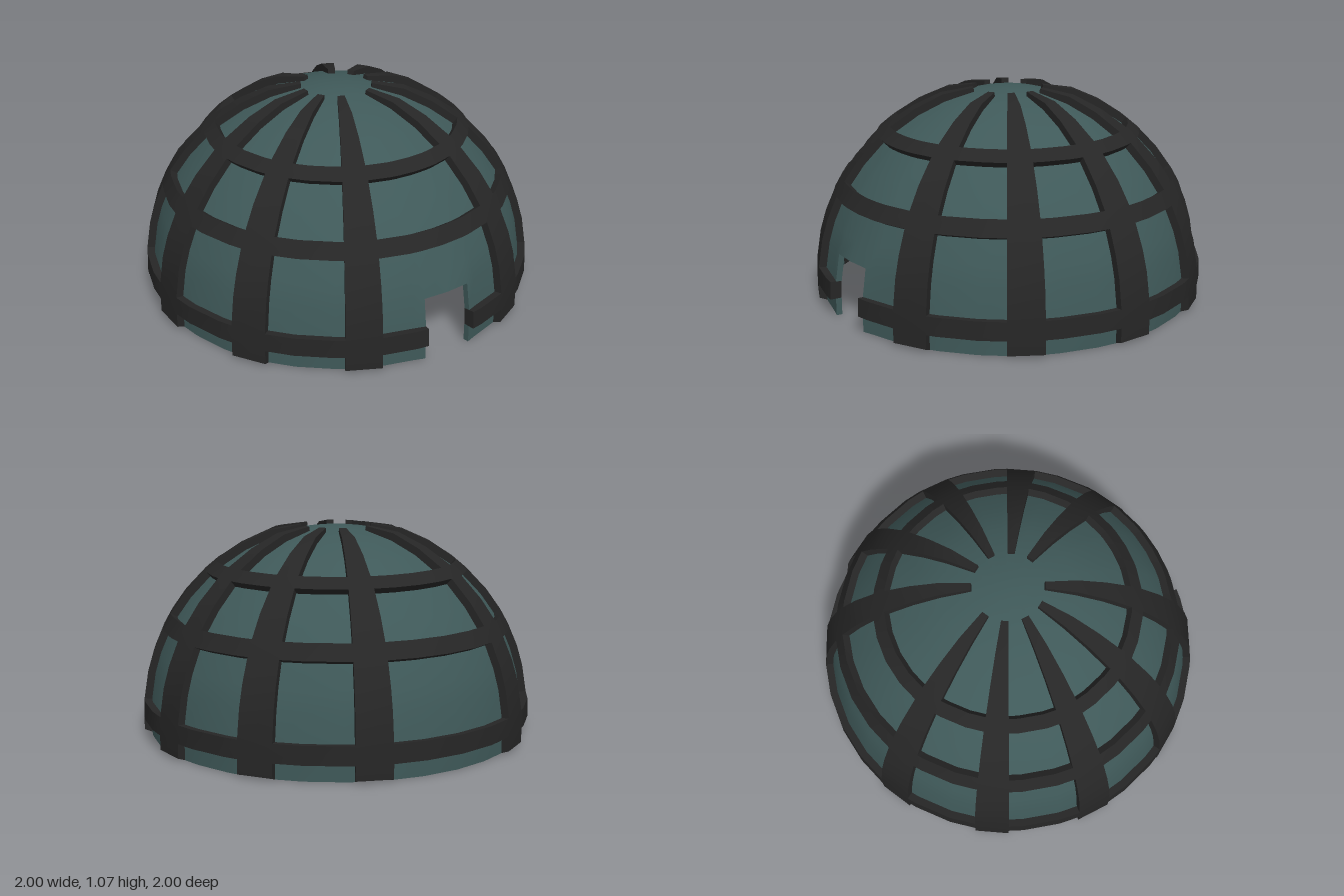
import * as THREE from 'three';
import { toCreasedNormals } from 'three/addons/utils/BufferGeometryUtils.js';

const RAD = Math.PI / 180;
const R = 0.965, CENTRE_Y = 0.095;
const INNER = -0.02, OUTER = 0, RAISED = 0.039;  // offsets of the shell layers

// Rows: elevation in degrees; the first row is the foot of the vertical skirt
const rows = ['foot', -0.4, 4.9, 13.2, 19.5, 26.7, 31.7, 39, 47.8, 52.2, 61, 70, 79.4, 85, 90];
const ringRows = [1, 5, 8];      // bands that are horizontal rings
const ribEndRow = 12;            // ribs stop below the crown
const doorRows = 3;              // rows cut away by the doorway
const doorHalf = 7.7;

// Ribs leave a wider gap at the front and the back
const ribs = [0, 32, 64, 116, 148, 180, 212, 244, 296, 328];
const ribHalf = (r) => (0.086 + 0.0025 / Math.max(r, 0.15)) / RAD;
const onRib = (angle) => ribs.some((a) => Math.abs(((angle - a + 540) % 360) - 180) < ribHalf(R));

// Columns: even divisions between the ribs, both edges of each rib, both door jambs
const columns = [];
for (let i = 0; i < 32; i++) if (!onRib(i * 11.25)) columns.push({ a: i * 11.25, side: 0 });
for (const a of ribs) for (const side of [-1, 1]) columns.push({ a, side });
for (const s of [-1, 1]) columns.push({ a: 270 + s * doorHalf, side: 0 });
const baseAngle = (c) => c.a + c.side * ribHalf(R);
columns.sort((p, q) => baseAngle(p) - baseAngle(q));
const N = columns.length;

function point(i, j, layer) {
  const foot = rows[i] === 'foot';
  const e = foot ? 0 : rows[i] * RAD;
  const c = columns[(j + N) % N];
  // Ribs flatten at the crown; the door surround stands slightly proud
  let lift = layer === RAISED && i >= ribEndRow ? 0.022 : layer;
  if (layer === OUTER && i <= doorRows && Math.abs(c.a - 270) < 9) lift += 0.01;
  const a = (c.a + c.side * ribHalf(R * Math.cos(e))) * RAD;
  const r = (R + lift) * Math.cos(e);
  const footY = layer === RAISED ? 0.015 : 0;
  const y = foot ? footY : CENTRE_Y + (R + lift) * Math.sin(e);
  return new THREE.Vector3(r * Math.cos(a), y, -r * Math.sin(a));
}

// Kind of each cell in the dome grid
function cellKind(i, j) {
  if (i < 0) return 'none';
  j = (j + N) % N;
  const from = baseAngle(columns[j]);
  const to = baseAngle(columns[(j + 1) % N]);
  const mid = from + (((to - from) % 360 + 360) % 360) / 2;
  if (i < doorRows && Math.abs(mid - 270) < doorHalf) return 'none';
  if ((onRib(mid) && i < ribEndRow) || ringRows.includes(i)) return 'frame';
  return 'panel';
}

function quad(out, a, b, c, d) {
  const put = (...pts) => pts.forEach((p) => out.push(p.x, p.y, p.z));
  put(a, b, c);
  if (c.distanceTo(d) > 1e-6) put(a, c, d);
}

function makeMesh(name, positions, color) {
  const geo = new THREE.BufferGeometry();
  geo.setAttribute('position', new THREE.Float32BufferAttribute(positions, 3));
  const mat = new THREE.MeshStandardMaterial({ color, side: THREE.DoubleSide });
  const mesh = new THREE.Mesh(toCreasedNormals(geo, 0.6), mat);
  mesh.name = name;
  return mesh;
}

export function createModel() {
  const parts = { panel: [], frame: [] };
  for (let i = 0; i < rows.length - 1; i++) {
    for (let j = 0; j < N; j++) {
      const kind = cellKind(i, j);
      if (kind === 'none') continue;
      const out = parts[kind];
      const corners = [[i, j], [i, j + 1], [i + 1, j + 1], [i + 1, j]];
      const at = (layer) => corners.map(([r, c]) => point(r, c, layer));
      const inner = at(INNER), outer = at(OUTER);
      const top = kind === 'frame' ? at(RAISED) : outer;

      // Outer face, and inner face turned the other way
      quad(out, ...top);
      quad(out, inner[1], inner[0], inner[3], inner[2]);

      // Walls at the rim and doorway, and where a band meets a panel
      const neighbours = [[i - 1, j], [i, j + 1], [i + 1, j], [i, j - 1]];
      neighbours.forEach(([r, c], k) => {
        const next = cellKind(r, c);
        if (next === kind || next === 'frame') return;
        const base = next === 'none' ? inner : outer;
        const n = (k + 1) % 4;
        quad(out, base[k], base[n], top[n], top[k]);
      });
    }
  }
  const group = new THREE.Group();
  group.name = 'dome';
  group.add(makeMesh('domePanels', parts.panel, 0x3f5959));
  group.add(makeMesh('ribsAndRings', parts.frame, 0x262626));
  group.position.z = 0.004;
  return group;
}
